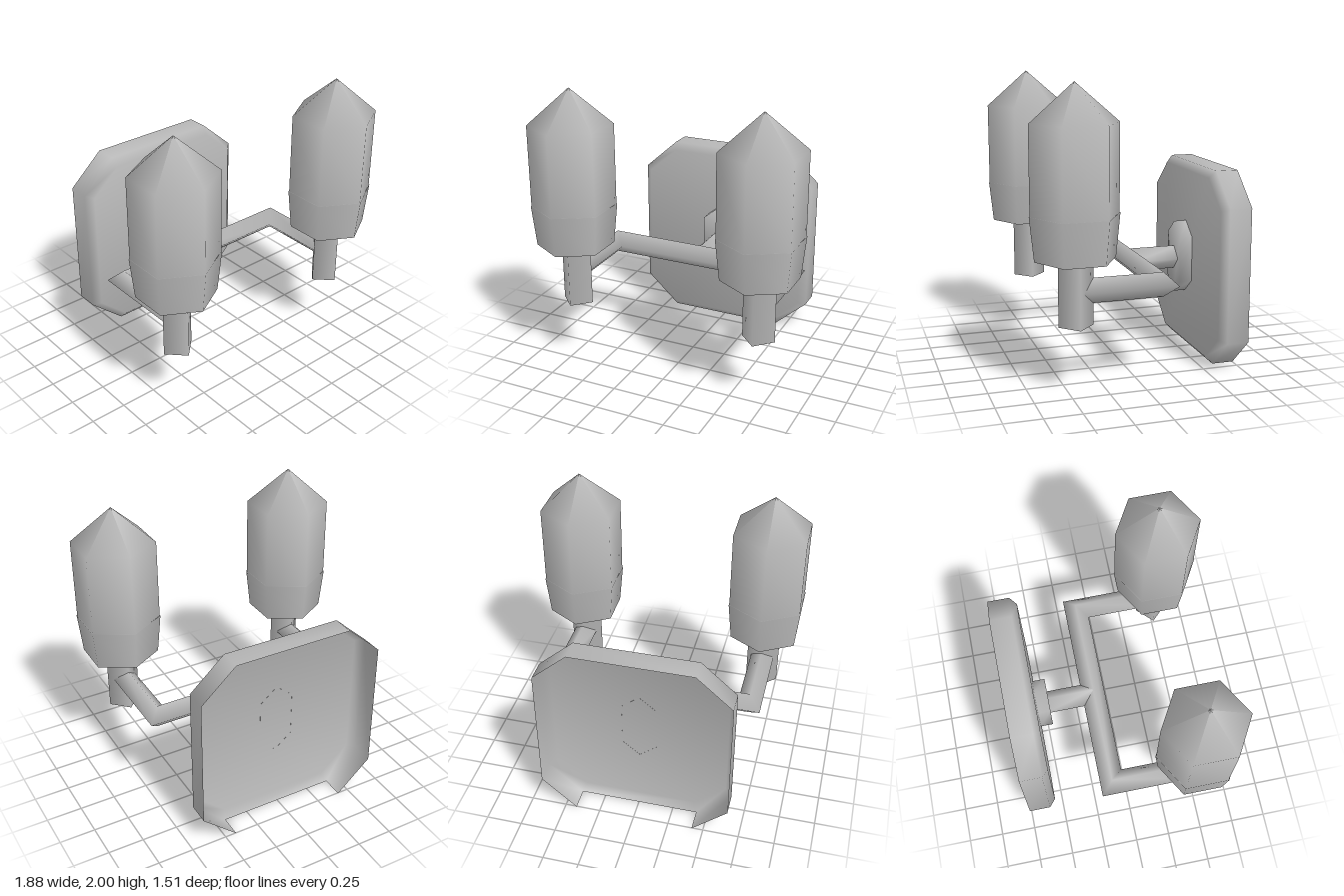
import * as THREE from 'three';

// Skin consecutive rings of points; skip(i, j) may leave a panel out
function skin(rings, skip = () => false) {
  const n = rings[0].length, index = [];
  for (let i = 0; i < rings.length - 1; i++) {
    for (let j = 0; j < n; j++) {
      if (skip(i, j)) continue;
      const a = i * n + j, b = i * n + (j + 1) % n;
      index.push(a, b, a + n, b, b + n, a + n);
    }
  }
  const g = new THREE.BufferGeometry();
  g.setAttribute('position', new THREE.Float32BufferAttribute(rings.flat(2), 3));
  g.setIndex(index);
  g.computeVertexNormals();
  return g;
}

// Close the last ring with a front face whose normals roll softly over its edge
function softCap(g, n, centreY, roll) {
  const p = g.attributes.position, s = p.count - n, index = [...g.index.array];
  const normal = new THREE.Vector3();
  for (let j = 0; j < n; j++) {
    normal.set(p.getX(s + j), p.getY(s + j) - centreY, 0).setLength(roll).setZ(1).normalize();
    g.attributes.normal.setXYZ(s + j, normal.x, normal.y, normal.z);
    if (j > 0 && j < n - 1) index.push(s, s + j, s + j + 1);
  }
  g.setIndex(index);
  return g;
}

// Six-sided turned part with smooth normals, profile listed from the bottom up
const turned = (profile) =>
  new THREE.LatheGeometry(profile.map(([x, y]) => new THREE.Vector2(x, y)), 6);

export function createModel() {
  const model = new THREE.Group();
  model.name = 'wallLamp';
  const grey = new THREE.MeshStandardMaterial({ color: 0xb8b8b8, side: THREE.DoubleSide });
  grey.name = 'grey metal';

  const add = (name, geometry, parent = model) => {
    const mesh = new THREE.Mesh(geometry, grey);
    mesh.name = name;
    parent.add(mesh);
    return mesh;
  };

  // Wall plate: hollow octagonal shell with a bevelled front, open at the back
  const octagon = (inset, z) => {
    const w = 0.665 - inset, h = 0.683 - inset, cx = 0.42 - inset * 0.4, cy = 0.463 - inset * 0.4;
    return [[-cx, -h], [cx, -h], [w, -cy], [w, cy], [cx, h], [-cx, h], [-w, cy], [-w, -cy]]
      .map(([x, y]) => [x, y + 0.683, z]);
  };
  const shell = skin([octagon(0, -0.755), octagon(0, -0.6), octagon(0.05, -0.553)],
    (i, j) => i === 0 && j === 0);
  add('wallPlate', softCap(shell, 8, 0.683, 0.3));

  // Elongated hexagonal boss on the plate
  const hexagon = (z) => [[0, -0.26], [0.123, -0.16], [0.123, 0.16], [0, 0.26], [-0.123, 0.16], [-0.123, -0.16]]
    .map(([x, y]) => [x, y + 0.688, z]);
  add('boss', softCap(skin([hexagon(-0.554), hexagon(-0.462)]), 6, 0.688, 0.8));

  // Arms: diamond-section bars, with mitred elbows on the crossbar
  const r = 0.083, armY = 0.685;
  const diamond = (x, z, sx, sz) => [
    [x + sx * r, armY, z + sz * r], [x, armY + r, z],
    [x - sx * r, armY, z - sz * r], [x, armY - r, z],
  ];
  add('crossArm', skin([
    diamond(0.685, 0.46, 1, 0), diamond(0.685, -0.13, 1, -1),
    diamond(-0.685, -0.13, -1, -1), diamond(-0.685, 0.46, -1, 0),
  ]));
  add('centreArm', skin([diamond(0, -0.5, 1, 0), diamond(0, -0.13, 1, 0)]));

  // Two lamps: square stem, flared cup and pointed hexagonal shade
  for (const side of [1, -1]) {
    const lamp = new THREE.Group();
    lamp.name = side > 0 ? 'leftLamp' : 'rightLamp';
    lamp.position.set(side * 0.685, 0, 0.457);
    model.add(lamp);
    add('stem', new THREE.CylinderGeometry(0.115, 0.115, 0.44, 4, 1, true), lamp).position.y = 0.68;
    add('cup', turned([[0.265, 0.895], [0.294, 1.18], [0.28, 1.18]]), lamp);
    add('cupBase', turned([[0, 0.895], [0.265, 0.895]]), lamp);
    add('shade', turned([[0.289, 1.18], [0.289, 1.75], [0, 2]]), lamp);
  }
  return model;
}
